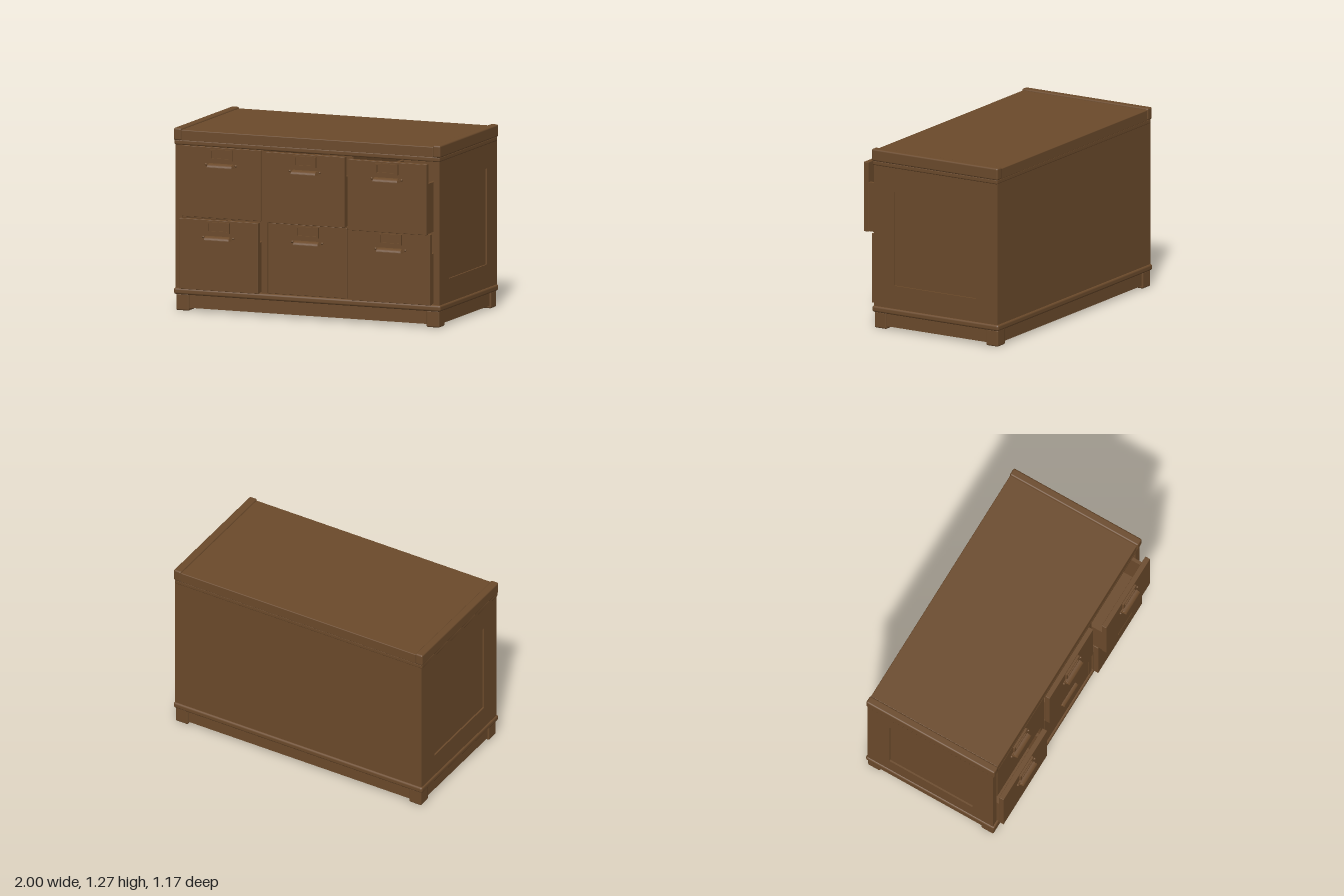
import * as THREE from 'three';
import { RoundedBoxGeometry } from 'three/addons/geometries/RoundedBoxGeometry.js';

export function createModel() {
  const model = new THREE.Group();
  model.name = 'drawerCabinet';
  const wood = new THREE.MeshStandardMaterial({ color: 0x6b4a2b });
  wood.name = 'brown wood';

  const add = (parent, name, geometry) => {
    const mesh = new THREE.Mesh(geometry, wood);
    mesh.name = name;
    parent.add(mesh);
    return mesh;
  };
  // Box given by its extents; r > 0 rounds the edges
  const box = (parent, name, x0, x1, y0, y1, z0, z1, r = 0) => {
    const size = [x1 - x0, y1 - y0, z1 - z0];
    const g = r ? new RoundedBoxGeometry(...size, 2, r) : new THREE.BoxGeometry(...size);
    return add(parent, name, g.translate((x0 + x1) / 2, (y0 + y1) / 2, (z0 + z1) / 2));
  };
  const rect = (Type, x0, x1, y0, y1) => {
    const p = new Type();
    p.moveTo(x0, y0);
    p.lineTo(x1, y0);
    p.lineTo(x1, y1);
    p.lineTo(x0, y1);
    p.closePath();
    return p;
  };

  // Carcass panels
  const carcass = new THREE.Group();
  carcass.name = 'carcass';
  model.add(carcass);
  box(carcass, 'back', -0.985, 0.985, 0.15, 1.165, -0.575, -0.55);
  box(carcass, 'bottom', -0.98, 0.98, 0.115, 0.16, -0.57, 0.425);
  for (const s of [-1, 1]) {
    // Side with a recessed field inside a raised frame
    box(carcass, 'sidePanel', s * 0.96 - 0.018, s * 0.96 + 0.018, 0.15, 1.165, -0.56, 0.428);
    const frame = rect(THREE.Shape, -0.43, 0.575, 0.15, 1.165);
    frame.holes.push(rect(THREE.Path, -0.265, 0.4, 0.32, 0.99));
    const g = new THREE.ExtrudeGeometry(frame, { depth: 0.012, bevelEnabled: false });
    g.rotateY(Math.PI / 2);
    add(carcass, 'sideFrame', g).position.x = s > 0 ? 0.978 : -0.99;
    box(carcass, 'divider', s * 0.323 - 0.022, s * 0.323 + 0.022, 0.15, 1.165, -0.56, 0.43);
  }
  box(carcass, 'middleShelf', -0.95, 0.95, 0.652, 0.662, -0.56, 0.42);

  // Top slab with a lower moulding and raised end strips
  box(model, 'topMoulding', -0.995, 0.995, 1.157, 1.193, -0.577, 0.44, 0.01);
  box(model, 'topSlab', -0.945, 0.945, 1.185, 1.262, -0.577, 0.438, 0.006);
  for (const s of [-1, 1])
    box(model, 'topEndStrip', s * 0.971 - 0.029, s * 0.971 + 0.029, 1.187, 1.273, -0.582, 0.445, 0.012);

  // Base moulding frame, plinth rails and corner feet
  box(model, 'baseMouldingFront', -1, 1, 0.112, 0.157, 0.38, 0.443, 0.015);
  box(model, 'baseMouldingBack', -1, 1, 0.112, 0.157, -0.587, -0.52, 0.015);
  box(model, 'plinthFront', -0.96, 0.96, 0.02, 0.118, 0.395, 0.42);
  box(model, 'plinthBack', -0.96, 0.96, 0.02, 0.118, -0.565, -0.54);
  for (const s of [-1, 1]) {
    box(model, 'baseMouldingSide', s * 0.97 - 0.03, s * 0.97 + 0.03, 0.112, 0.157, -0.587, 0.443, 0.015);
    box(model, 'plinthSide', s * 0.965 - 0.0125, s * 0.965 + 0.0125, 0.02, 0.118, -0.56, 0.415);
    for (const z of [-0.527, 0.381])
      box(model, 'foot', s * 0.938 - 0.049, s * 0.938 + 0.049, 0, 0.118, z - 0.049, z + 0.049, 0.01);
  }

  // Label holder and cup pull, origin on the drawer face
  const addHandle = (drawer) => {
    const frame = rect(THREE.Shape, -0.085, 0.085, 0.16, 0.235);
    frame.holes.push(rect(THREE.Path, -0.07, 0.07, 0.172, 0.225));
    add(drawer, 'labelFrame', new THREE.ExtrudeGeometry(frame, { depth: 0.015, bevelEnabled: false }));
    box(drawer, 'labelCard', -0.075, 0.075, 0.168, 0.229, -0.002, 0.004);
    box(drawer, 'pullPlate', -0.108, 0.108, 0.121, 0.133, -0.002, 0.009);

    // Quarter-round shell, narrowed toward the top and front
    const shell = new THREE.Shape();
    shell.moveTo(0.042, 0);
    shell.absellipse(0, 0, 0.042, 0.028, 0, Math.PI / 2, false);
    shell.lineTo(0, 0.022);
    shell.absellipse(0, 0, 0.036, 0.022, Math.PI / 2, 0, true);
    const cap = new THREE.Shape();
    cap.moveTo(0, 0);
    cap.lineTo(0.042, 0);
    cap.absellipse(0, 0, 0.042, 0.028, 0, Math.PI / 2, false);
    const parts = [['cupPull', shell, -0.1, 0.2], ['cupEnd', cap, -0.1, 0.006], ['cupEnd', cap, 0.094, 0.006]];
    for (const [name, shape, x, depth] of parts) {
      const g = new THREE.ExtrudeGeometry(shape, { depth, bevelEnabled: false, curveSegments: 8 });
      g.rotateY(-Math.PI / 2).scale(-1, 1, 1).translate(x, 0, 0);
      // Restore outward winding after the mirror
      const p = g.attributes.position;
      for (let i = 0; i < p.count; i++)
        p.setX(i, p.getX(i) * (1 - 4 * p.getY(i) - 2.5 * Math.max(0, p.getZ(i) - 0.02)));
      for (let i = 0; i < p.count; i += 3) {
        const a = new THREE.Vector3().fromBufferAttribute(p, i + 1);
        const b = new THREE.Vector3().fromBufferAttribute(p, i + 2);
        p.setXYZ(i + 1, b.x, b.y, b.z);
        p.setXYZ(i + 2, a.x, a.y, a.z);
      }
      g.computeVertexNormals();
      add(drawer, name, g).position.y = 0.108;
    }
    for (const s of [-1, 1])
      add(drawer, 'pullScrew', new THREE.SphereGeometry(0.009, 10, 8)).position.set(s * 0.112, 0.127, 0.006);
  };

  // Drawers: open-topped boxes pulled out by different amounts
  const fronts = [[0.485, 0.43, 0.48], [0.435, 0.472, 0.545]];
  fronts.forEach((row, r) => row.forEach((z, c) => {
    const drawer = new THREE.Group();
    drawer.name = 'drawer';
    drawer.position.set((c - 1) * 0.644, r ? 0.907 : 0.407, z);
    model.add(drawer);
    box(drawer, 'drawerFront', -0.296, 0.296, -0.247, 0.247, -0.037, 0, 0.003);
    box(drawer, 'drawerBottom', -0.285, 0.285, -0.243, -0.225, -0.93, -0.03);
    box(drawer, 'drawerBack', -0.285, 0.285, -0.243, 0.105, -0.95, -0.925);
    for (const s of [-1, 1])
      box(drawer, 'drawerSide', s * 0.279 - 0.012, s * 0.279 + 0.012, -0.243, 0.105, -0.95, -0.03);
    addHandle(drawer);
  }));

  return model;
}
